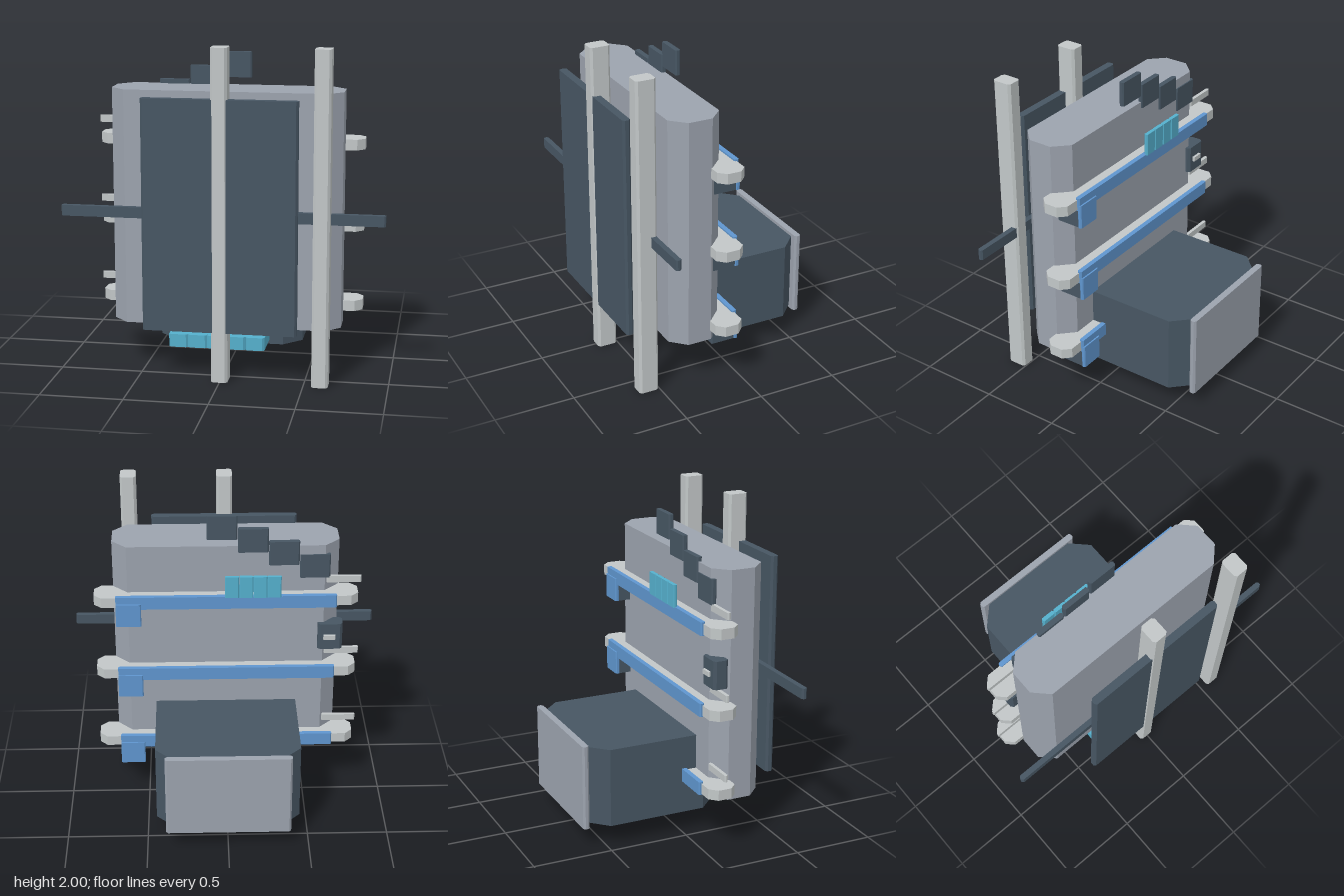
import * as THREE from 'three';

const material = (name, color) => Object.assign(new THREE.MeshStandardMaterial({ color }), { name });

export function createModel() {
  const model = new THREE.Group();
  model.name = 'wallUnit';

  const grey = material('mid grey', 0x9ca3ae);
  const light = material('light grey', 0xc2c7c8);
  const dark = material('dark slate', 0x475663);
  const blue = material('blue', 0x5f96cf);
  const teal = material('teal', 0x55b0cd);

  // Upright prism whose four vertical edges are cut by c.
  function prism(name, mat, [x0, x1], [y0, y1], [z0, z1], c) {
    const points = [
      [x0 + c, z0], [x1 - c, z0], [x1, z0 + c], [x1, z1 - c],
      [x1 - c, z1], [x0 + c, z1], [x0, z1 - c], [x0, z0 + c],
    ].map(([x, z]) => new THREE.Vector2(x, -z));
    const geometry = new THREE.ExtrudeGeometry(new THREE.Shape(points), {
      depth: y1 - y0, bevelEnabled: false,
    });
    geometry.rotateX(-Math.PI / 2).translate(0, y0, 0);
    const mesh = new THREE.Mesh(geometry, mat);
    mesh.name = name;
    model.add(mesh);
  }

  // Main cabinet and the panel standing in front of it
  prism('cabinet', grey, [-0.7, 0.695], [0.285, 1.72], [0.09, 0.42], 0.09);
  prism('frontPanel', dark, [-0.465, 0.46], [0.305, 1.7], [0.575, 0.624], 0.013);

  // Tall poles, cross bar and its strut
  for (const x of [-0.002, 0.598]) {
    prism('pole', light, [x - 0.049, x + 0.049], [0, 2], [0.505, 0.63], 0.014);
  }
  prism('crossBar', dark, [-0.97, 0.965], [0.97, 1.035], [0.513, 0.547], 0.01);
  prism('strut', light, [-0.02, 0.016], [0.985, 1.02], [0.41, 0.51], 0.004);

  // Three rows of shelf, rail, clamp and side tab
  for (const y of [0.35, 0.85, 1.35]) {
    prism('shelf', light, [-0.815, 0.81], [y, y + 0.065], [0.01, 0.187], 0.046);
    prism('rail', blue, [-0.68, 0.675], [y - 0.007, y + 0.075], [-0.006, 0.024], 0.007);
    prism('clampBlock', dark, [0.525, 0.67], [y - 0.12, y + 0.025], [0.005, 0.16], 0.004);
    prism('clampPlate', blue, [0.52, 0.675], [y - 0.12, y + 0.03], [-0.016, 0.01], 0.006);
    prism('sideTab', light, [-0.835, -0.62], [y + 0.12, y + 0.162], [0.085, 0.107], 0.006);
  }

  // Deep rear box with its end plate
  prism('rearBox', dark, [-0.447, 0.443], [0.135, 0.63], [-0.59, 0.252], 0.11);
  prism('rearPlate', grey, [-0.388, 0.384], [0.115, 0.65], [-0.632, -0.59], 0.012);

  // Row of cells under the cabinet
  for (let i = 0; i < 5; i++) {
    const x = -0.333 + i * 0.1168;
    prism('lowerCell', teal, [x, x + 0.1165], [0.165, 0.245], [0.24, 0.492], 0.012);
  }

  // Row of small cells above the top rail
  for (let i = 0; i < 4; i++) {
    const x = -0.338 + i * 0.086;
    prism('upperCell', teal, [x, x + 0.085], [1.42, 1.56], [-0.014, 0.01], 0.006);
  }

  // Fins climbing in steps along the back
  for (let i = 0; i < 4; i++) {
    const x = -0.642 + i * 0.19;
    const y = 1.505 + i * 0.087;
    prism('fin', dark, [x, x + 0.187], [y, y + 0.155], [0.082, 0.115], 0.008);
  }

  // Lock on the rear edge
  prism('lockCase', dark, [-0.73, -0.575], [1.015, 1.19], [0.06, 0.155], 0.016);
  prism('latch', light, [-0.685, -0.61], [1.088, 1.117], [0.043, 0.062], 0.004);

  return model;
}
